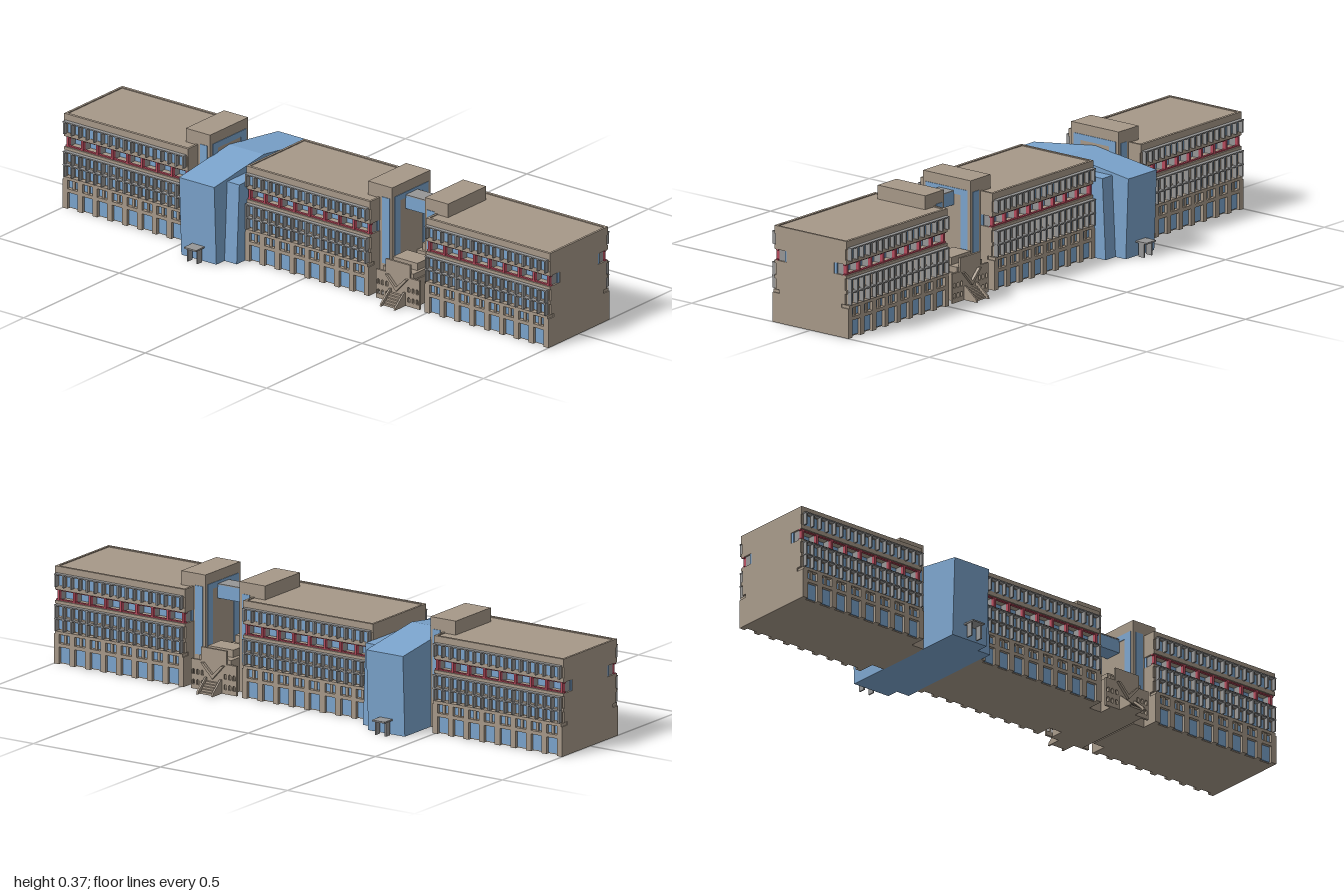
import * as THREE from 'three';
import { mergeGeometries } from 'three/addons/utils/BufferGeometryUtils.js';

const material = (color) => new THREE.MeshStandardMaterial({ color, side: THREE.DoubleSide });
const TAN = material(0xa69888), BLUE = material(0x7aa3cc), GREY = material(0x969696), RED = material(0xb54a5c);

// Box given by its limits on each axis
function box(x0, x1, y0, y1, z0, z1) {
  return new THREE.BoxGeometry(x1 - x0, y1 - y0, z1 - z0)
    .translate((x0 + x1) / 2, (y0 + y1) / 2, (z0 + z1) / 2);
}
// The same box on both long sides of the building
function pair(x0, x1, y0, y1, z0, z1) {
  return [box(x0, x1, y0, y1, z0, z1), box(-x1, -x0, y0, y1, z0, z1)];
}
function add(group, name, mat, geometries) {
  const mesh = new THREE.Mesh(mergeGeometries(geometries.map((g) => (g.index ? g.toNonIndexed() : g))), mat);
  mesh.name = name;
  group.add(mesh);
}
const polygon = (points) => new THREE.Shape(points.map((p) => new THREE.Vector2(...p)));
// Profile in (x, y) drawn out from z0 to z1
const along = (shape, z0, z1) =>
  new THREE.ExtrudeGeometry(shape, { depth: z1 - z0, bevelEnabled: false }).translate(0, 0, z0);
// Profile in (z, y) drawn out from x0 to x1
const across = (shape, x0, x1) =>
  new THREE.ExtrudeGeometry(shape, { depth: x1 - x0, bevelEnabled: false }).rotateY(-Math.PI / 2).translate(x1, 0, 0);

function createWing(z0, z1) {
  const wing = new THREE.Group();
  wing.name = 'wing';
  const bays = 8, p = 0.01, pitch = (z1 - z0 - 2 * p) / bays;

  // Stacked storeys, with narrow recesses above the base and at the loggia
  add(wing, 'body', TAN, [
    box(-0.146, 0.146, 0, 0.1, z0, z1),
    box(-0.13, 0.13, 0.1, 0.112, z0, z1),
    box(-0.146, 0.146, 0.112, 0.21, z0, z1),
    box(-0.1, 0.1, 0.21, 0.247, z0, z1),
    box(-0.148, 0.148, 0.247, 0.322, z0, z1),
  ]);
  add(wing, 'roof', TAN, [
    box(-0.152, 0.152, 0.32, 0.323, z0, z1),
    ...pair(0.142, 0.152, 0.323, 0.326, z0, z1),
    box(-0.142, 0.142, 0.323, 0.326, z0, z0 + 0.008),
    box(-0.142, 0.142, 0.323, 0.326, z1 - 0.008, z1),
  ]);

  // Glass strips behind the frames
  add(wing, 'windows', BLUE, [
    ...pair(0.14, 0.149, 0.004, 0.058, z0 + p, z1 - p),
    ...pair(0.14, 0.149, 0.072, 0.096, z0 + p, z1 - p),
    ...pair(0.14, 0.149, 0.116, 0.195, z0 + p, z1 - p),
    ...pair(0.1, 0.11, 0.21, 0.247, z0 + 0.002, z1 - 0.002),
    ...pair(0.14, 0.15, 0.262, 0.298, z0 + p, z1 - p),
  ]);

  const frame = [
    ...pair(0.146, 0.16, 0.058, 0.07, z0, z1),
    ...pair(0.1, 0.16, 0.1, 0.11, z0 + 0.004, z1 - 0.004),
    ...pair(0.146, 0.152, 0.2, 0.21, z0, z1),
    ...pair(0.146, 0.152, 0.148, 0.16, z0, z1),
    ...pair(0.146, 0.152, 0.247, 0.262, z0, z1),
    ...pair(0.146, 0.152, 0.298, 0.32, z0, z1),
  ];
  const fins = [], posts = [];
  for (let i = 0; i <= bays; i++) {
    const z = z0 + p + i * pitch;
    const a = Math.max(z0, z - 0.01), b = Math.min(z1, z + 0.01);
    frame.push(...pair(0.14, 0.16, 0, 0.1, a, b));
    const r0 = Math.max(z0, z - 0.004), r1 = Math.min(z1, z + 0.004);
    posts.push(...pair(0.135, 0.148, 0.21, 0.247, r0, r1));
    fins.push(...pair(0.11, 0.135, 0.21, 0.247, r0, r1));
    if (i < bays) {
      const mid = z + pitch / 2;
      frame.push(...pair(0.146, 0.154, 0.07, 0.1, mid - 0.005, mid + 0.005));
    }
  }
  // Upright piers and shading fins of the upper floors
  for (let i = 0; i <= bays * 2; i++) {
    const z = z0 + p + (i * pitch) / 2;
    frame.push(...pair(0.146, 0.152, 0.112, 0.2, z - 0.004, z + 0.004));
    frame.push(...pair(0.146, 0.152, 0.262, 0.3, z - 0.004, z + 0.004));
    for (const [y0, y1] of [[0.112, 0.156], [0.156, 0.2], [0.26, 0.304]])
      fins.push(...pair(0.148, 0.167, y0, y1, z - 0.0025, z + 0.0025));
  }
  const s0 = z0 + 0.006, s1 = z1 - 0.006;
  for (const y of [0.151, 0.196, 0.3]) fins.push(...pair(0.147, 0.167, y, y + 0.004, s0, s1));
  posts.push(...pair(0.137, 0.146, 0.21, 0.214, z0, z1), ...pair(0.137, 0.146, 0.243, 0.247, z0, z1));

  add(wing, 'facadeFrame', TAN, frame);
  add(wing, 'sunShades', GREY, fins);
  add(wing, 'loggiaPosts', RED, posts);
  return wing;
}

// Stair tower with glazed strips; dir is the side its exposed end faces
function createTower(z0, z1, dir) {
  const tower = new THREE.Group();
  tower.name = 'stairTower';
  add(tower, 'towerBody', TAN, [box(-0.1, 0.1, 0, 0.37, z0, z1)]);
  const end = dir > 0 ? z1 : z0;
  const g0 = dir > 0 ? z1 - 0.04 : z0 + 0.01, g1 = g0 + 0.03;
  const glass = pair(0.095, 0.102, 0.1, 0.33, g0, g1);
  glass.push(...pair(0.06, 0.088, 0.1, 0.335, end - 0.002, end + 0.002));
  glass.push(box(-0.06, 0.06, 0.315, 0.335, end - 0.002, end + 0.002));
  add(tower, 'towerGlass', BLUE, glass);
  return tower;
}

function createEntrance() {
  const entrance = new THREE.Group();
  entrance.name = 'entrance';
  const mid = 0.375;
  add(entrance, 'entranceHall', TAN, [
    box(-0.146, 0.146, 0, 0.095, 0.31, 0.44),
    ...pair(0.03, 0.148, 0.09, 0.115, 0.31, 0.435),
    ...pair(0.04, 0.115, 0.11, 0.14, 0.325, 0.425),
  ]);

  // Stepped end walls with small window openings
  const wall = polygon([[0.285, 0], [0.465, 0], [0.465, 0.1], [0.425, 0.1], [0.425, 0.145],
    [0.325, 0.145], [0.325, 0.1], [0.285, 0.1]]);
  for (const s of [-1, 1]) for (const d of [0.045, 0.063, 0.08]) for (const y of [0.015, 0.05]) {
    const z = mid + s * d;
    const hole = new THREE.Path();
    hole.moveTo(z - 0.005, y);
    hole.lineTo(z + 0.005, y);
    hole.lineTo(z + 0.005, y + 0.012);
    hole.absarc(z, y + 0.012, 0.005, 0, Math.PI, false);
    hole.closePath();
    wall.holes.push(hole);
  }
  add(entrance, 'entranceWalls', TAN, [across(wall, 0.146, 0.154), across(wall, -0.154, -0.146)]);

  // Outer stairs with sloping side walls and a wedge-shaped hood
  const stairs = [];
  const cheek = [[0.15, 0], [0.208, 0], [0.204, 0.01], [0.16, 0.047], [0.15, 0.047]];
  const hood = polygon([[mid - 0.045, 0.095], [mid - 0.035, 0.095], [mid, 0.06], [mid + 0.035, 0.095],
    [mid + 0.045, 0.095], [mid, 0.045]]);
  for (const s of [-1, 1]) {
    const shape = polygon(cheek.map(([x, y]) => [s * x, y]));
    stairs.push(along(shape, mid - 0.032, mid - 0.026), along(shape, mid + 0.026, mid + 0.032));
    for (let i = 0; i < 5; i++) {
      const x = 0.195 - i * 0.008;
      stairs.push(s > 0 ? box(0.15, x, 0, 0.007 * (i + 1), mid - 0.026, mid + 0.026)
        : box(-x, -0.15, 0, 0.007 * (i + 1), mid - 0.026, mid + 0.026));
    }
    stairs.push(across(hood, s * 0.158 - 0.006, s * 0.158 + 0.006));
  }
  add(entrance, 'entranceStairs', TAN, stairs);
  return entrance;
}

function createAtrium() {
  const atrium = new THREE.Group();
  atrium.name = 'glassAtrium';
  // Main block leans outward, the lower link leans inward
  const main = polygon([[-0.248, 0], [0.248, 0], [0.259, 0.272], [0, 0.307], [-0.259, 0.272]]);
  const link = polygon([[-0.205, 0], [0.205, 0], [0.191, 0.272], [-0.191, 0.272]]);
  add(atrium, 'atriumGlass', BLUE, [along(main, -0.442, -0.298), along(link, -0.298, -0.248)]);
  add(atrium, 'doorCanopies', GREY, [
    ...pair(0.24, 0.295, 0.047, 0.052, -0.395, -0.345),
    ...pair(0.26, 0.283, 0, 0.047, -0.392, -0.387),
    ...pair(0.26, 0.283, 0, 0.047, -0.353, -0.348),
  ]);
  return atrium;
}

export function createModel() {
  const model = new THREE.Group();
  model.name = 'officeBuilding';
  for (const [z0, z1] of [[0.49, 1], [-0.25, 0.26], [-1, -0.49]]) model.add(createWing(z0, z1));
  model.add(createTower(0.445, 0.54, -1), createTower(0.21, 0.31, 1), createTower(-0.54, -0.44, 1));
  model.add(createEntrance(), createAtrium());

  // High-level walkway between the two front towers
  add(model, 'walkwayGlass', BLUE, [box(-0.03, 0.03, 0.277, 0.322, 0.31, 0.445)]);
  add(model, 'walkwayRoof', GREY, [box(-0.031, 0.031, 0.322, 0.326, 0.31, 0.445)]);
  return model;
}
